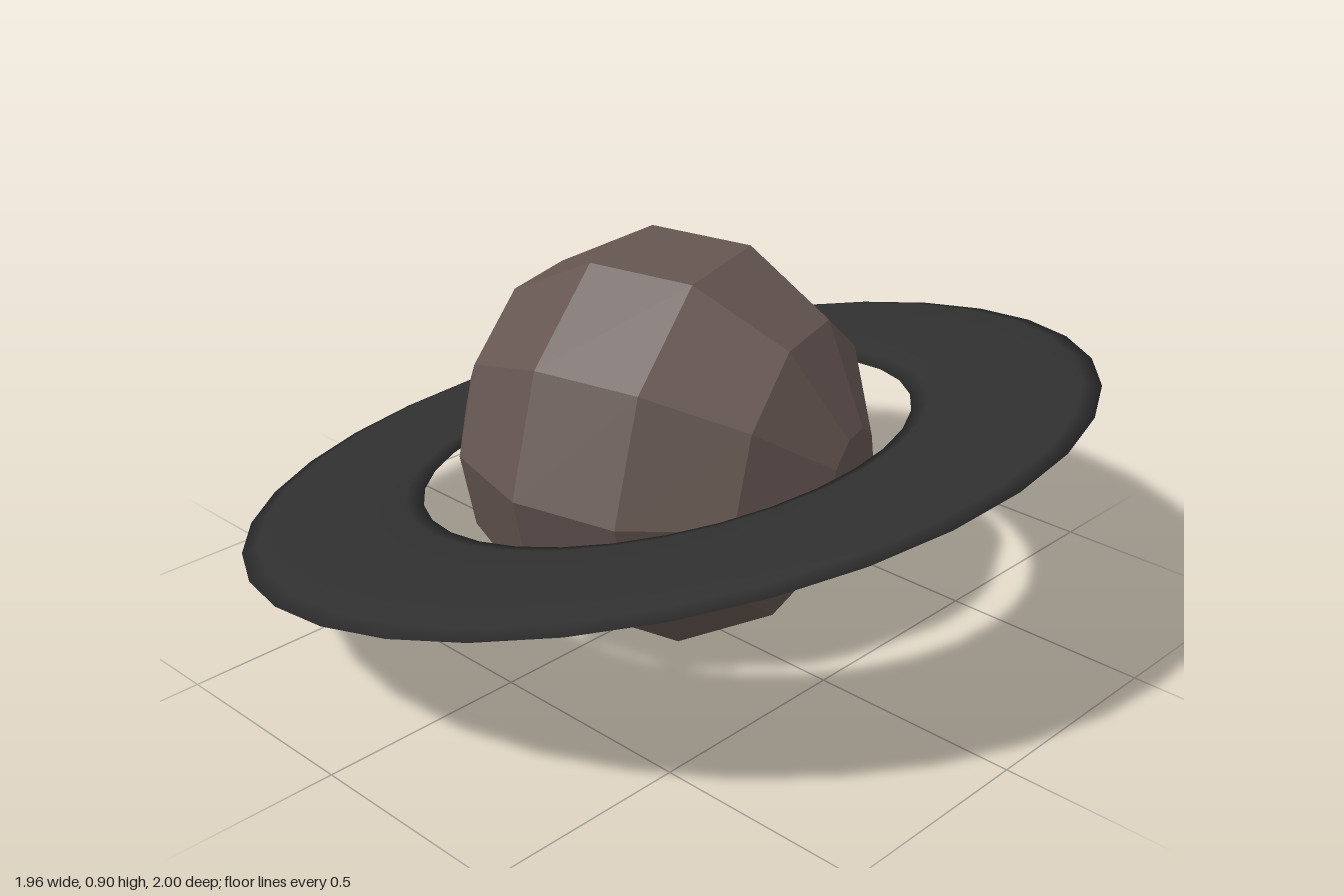
import * as THREE from 'three';

const rad = THREE.MathUtils.degToRad;

export function createModel() {
  const model = new THREE.Group();
  model.name = 'ringedPlanet';

  const rock = new THREE.MeshStandardMaterial({ color: 0x655651, flatShading: true });
  rock.name = 'brown rock';
  const dust = new THREE.MeshStandardMaterial({ color: 0x303030 });
  dust.name = 'dark dust';

  // Faceted planet: ten sides, six latitude rings, flat caps at both poles
  const R = 0.487;
  const profile = [new THREE.Vector2(0, -R * Math.sin(rad(75)))];
  for (let lat = -75; lat <= 75; lat += 30) {
    profile.push(new THREE.Vector2(R * Math.cos(rad(lat)), R * Math.sin(rad(lat))));
  }
  profile.push(new THREE.Vector2(0, R * Math.sin(rad(75))));
  const planet = new THREE.Mesh(new THREE.LatheGeometry(profile, 10), rock);
  planet.name = 'planet';
  // The pole axis lies almost level, turned slightly to the back on the left
  planet.rotation.set(0, rad(16.5), rad(-92));
  planet.position.y = 0.447;
  model.add(planet);

  // Smooth, strongly flattened ring, tilted up to the left and back
  const ringGeometry = new THREE.TorusGeometry(0.79, 0.212, 10, 32);
  ringGeometry.rotateX(Math.PI / 2);
  ringGeometry.scale(1, 0.085, 1);
  const ring = new THREE.Mesh(ringGeometry, dust);
  ring.name = 'ring';
  const normal = new THREE.Vector3(-0.22, 1, 0.072).normalize();
  ring.quaternion.setFromUnitVectors(new THREE.Vector3(0, 1, 0), normal);
  ring.position.y = 0.428;
  model.add(ring);

  return model;
}
